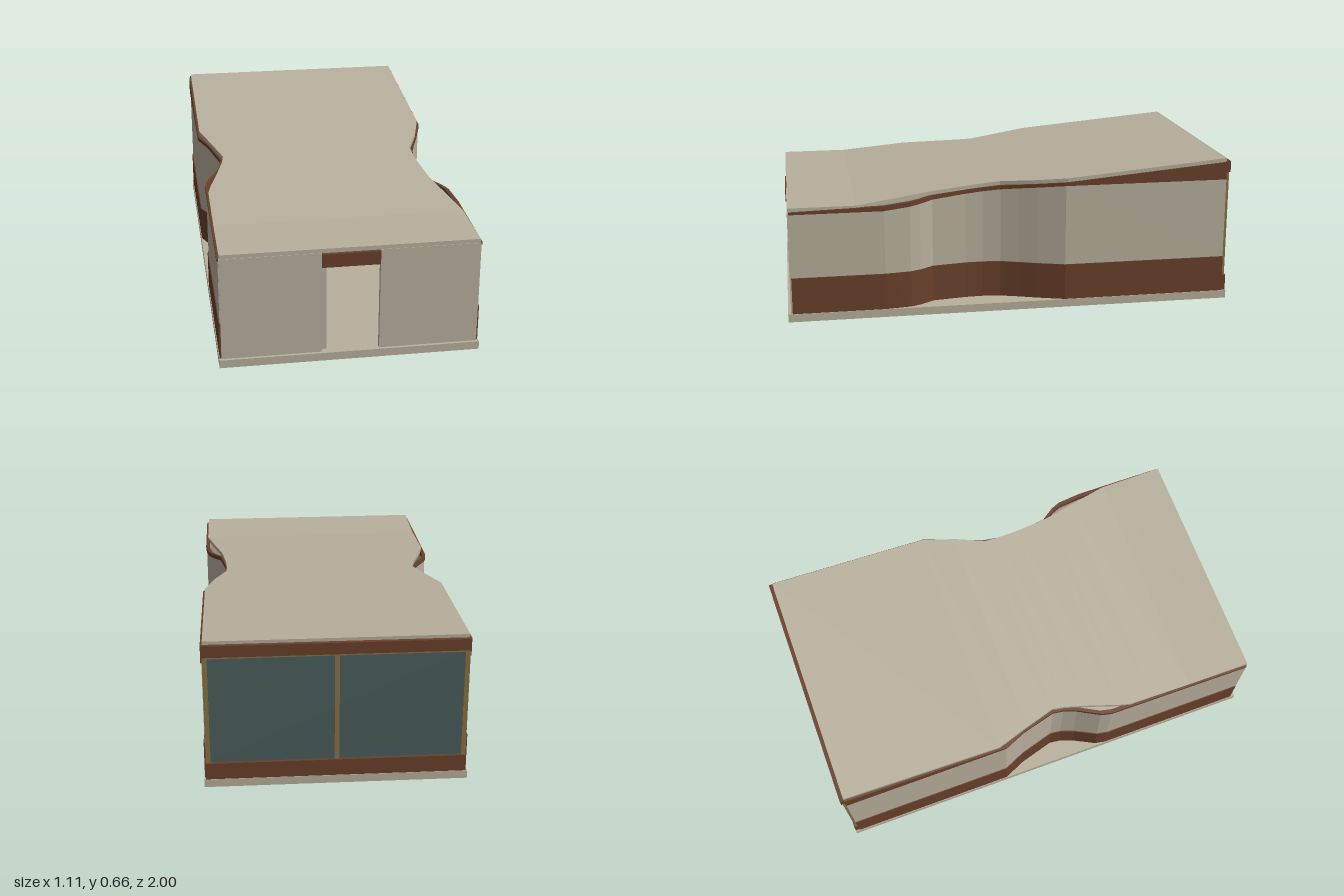
import * as THREE from 'three';

const mat = (name, color, side = THREE.FrontSide) => {
  const m = new THREE.MeshStandardMaterial({ color, side });
  m.name = name;
  return m;
};

// Solid lofted along z from rectangular sections {z, x0, x1, y0, y1}, z increasing
function loft(sections) {
  const rings = sections.map(({ z, x0, x1, y0, y1 }) =>
    [[x0, y0, z], [x1, y0, z], [x1, y1, z], [x0, y1, z]]);
  const out = [];
  const quad = (a, b, c, d) => out.push(...a, ...b, ...c, ...a, ...c, ...d);
  const last = rings[rings.length - 1];
  quad(...[...rings[0]].reverse());
  quad(...last);
  for (let i = 0; i < rings.length - 1; i++) {
    const s = rings[i], t = rings[i + 1];
    for (let k = 0; k < 4; k++) {
      const n = (k + 1) % 4;
      quad(s[k], s[n], t[n], t[k]);
    }
  }
  const g = new THREE.BufferGeometry();
  g.setAttribute('position', new THREE.Float32BufferAttribute(out, 3));
  g.computeVertexNormals();
  return g;
}

// Underside of the roof: level at the front, rising to the back
const soffit = z => 0.498 + 0.147 * Math.max(0, (0.69 - z) / 1.67);
// Top edge of the pale cladding below the eaves band
const claddingTop = z => z < -0.24 ? 0.565 : z > 0.57 ? 0.487 : 0.565 - 0.078 * (z + 0.24) / 0.81;

export function createModel() {
  const group = new THREE.Group();
  const plaster = mat('plaster', 0xb8b09d);
  const timber = mat('brown timber', 0x6a402b);
  const glass = mat('glass', 0x4c5e5e);
  const frame = mat('tan frame', 0x8a7345);

  const add = (name, geometry, material) => {
    const m = new THREE.Mesh(geometry, material);
    m.name = name;
    group.add(m);
  };
  const box = (name, material, x0, x1, y0, y1, z0, z1) => {
    const g = new THREE.BoxGeometry(x1 - x0, y1 - y0, z1 - z0);
    g.translate((x0 + x1) / 2, (y0 + y1) / 2, (z0 + z1) / 2);
    add(name, g, material);
  };

  // Floor slab
  box('floorSlab', plaster, -0.557, 0.557, 0, 0.036, -1, 1);

  // Roof: [z, right edge, left edge], pinched at the waist
  const roof = [
    [-0.98, -0.545, 0.545], [-0.25, -0.545, 0.545], [-0.1, -0.495, 0.503],
    [0.04, -0.452, 0.447], [0.1, -0.462, 0.445], [0.2, -0.49, 0.45],
    [0.34, -0.533, 0.466], [0.39, -0.545, 0.475], [0.5, -0.545, 0.502],
    [0.69, -0.545, 0.545], [0.985, -0.545, 0.545],
  ];
  add('roof', loft(roof.map(([z, x0, x1]) =>
    ({ z, x0, x1, y0: soffit(z) - 0.002, y1: soffit(z) + 0.017 }))), plaster);

  // Curved side walls: [z, distance from the centre line]
  const leftPath = [
    [-0.98, 0.55], [-0.24, 0.55], [-0.12, 0.512], [-0.04, 0.482], [0.04, 0.456], [0.12, 0.447],
    [0.2, 0.45], [0.35, 0.472], [0.41, 0.515], [0.455, 0.535], [0.57, 0.55], [0.98, 0.55],
  ];
  const rightPath = [
    [-0.98, 0.55], [-0.22, 0.55], [-0.12, 0.506], [0.04, 0.461], [0.09, 0.467],
    [0.15, 0.488], [0.25, 0.54], [0.3, 0.55], [0.98, 0.55],
  ];
  for (const [side, path, sign] of [['left', leftPath, 1], ['right', rightPath, -1]]) {
    const band = (name, material, grow, low, high) => add(side + name, loft(path.map(([z, x]) => {
      const a = sign * (x + grow), b = sign * (x - 0.014);
      return { z, x0: Math.min(a, b), x1: Math.max(a, b), y0: low(z), y1: high(z) };
    })), material);
    band('WallBase', timber, 0.004, () => 0.036, () => 0.2);
    band('WallCladding', plaster, 0, () => 0.2, claddingTop);
    band('WallEaves', timber, 0.004, claddingTop, soffit);
  }

  // Front wall on both sides of the doorway
  for (const s of [-1, 1]) {
    box('frontWall', plaster, Math.min(s * 0.123, s * 0.547), Math.max(s * 0.123, s * 0.547),
      0.036, 0.497, 0.965, 0.987);
  }
  box('doorLintel', timber, -0.123, 0.123, 0.432, 0.492, 0.965, 0.992);

  // Interior partitions seen through the doorway
  box('hallPartition', plaster, -0.123, -0.1, 0.036, 0.44, 0.6, 0.965);
  box('innerPartition', plaster, -0.1, -0.09, 0.036, 0.39, 0.35, 0.6);
  box('lowPartition', plaster, -0.4, -0.012, 0.036, 0.283, -0.02, 0);
  box('lowPartitionCap', timber, -0.4, -0.012, 0.283, 0.29, -0.02, 0);
  box('bench', timber, 0.1, 0.3, 0.036, 0.12, -0.4, 0);

  // Glazed back wall
  box('backSill', timber, -0.55, 0.55, 0.036, 0.11, -0.998, -0.975);
  box('backBeam', timber, -0.55, 0.55, 0.597, 0.648, -0.998, -0.978);
  box('backGlass', glass, -0.54, 0.54, 0.11, 0.6, -0.985, -0.978);
  for (const x of [-0.538, -0.002, 0.538]) {
    box('windowPost', frame, x - 0.01, x + 0.01, 0.11, 0.6, -0.992, -0.972);
  }
  box('windowHead', frame, -0.54, 0.54, 0.588, 0.598, -0.99, -0.974);

  return group;
}
